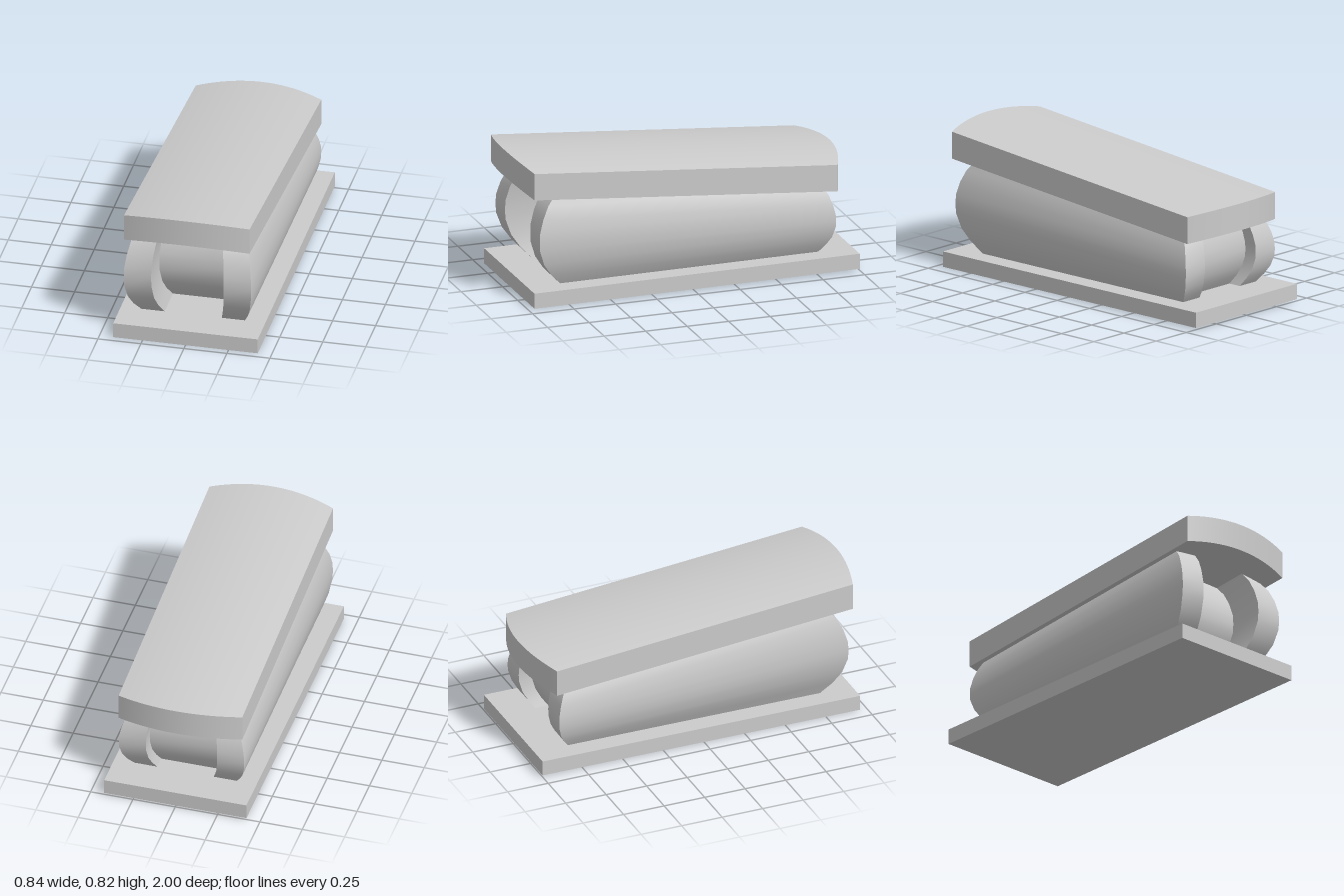
import * as THREE from 'three';
import { toCreasedNormals } from 'three/addons/utils/BufferGeometryUtils.js';

const material = new THREE.MeshStandardMaterial({ color: 0xcccccc, side: THREE.DoubleSide });

function addPart(group, name, geometry) {
  const mesh = new THREE.Mesh(toCreasedNormals(geometry, 0.65), material);
  mesh.name = name;
  group.add(mesh);
}

// Move every vertex of a geometry by a rule
function reshape(geometry, rule) {
  const p = geometry.attributes.position;
  const v = new THREE.Vector3();
  for (let i = 0; i < p.count; i++) {
    rule(v.fromBufferAttribute(p, i));
    p.setXYZ(i, v.x, v.y, v.z);
  }
  return geometry;
}

// Upper surface of the sloping, crowned lid
const LID_HALF = 0.365, LID_THICK = 0.158;
const lidTop = (x, z) => 0.825 - 0.087 * (0.995 - z) - 0.032 * (x / LID_HALF) ** 2;
const baseTop = (z) => 0.09 + 0.01 * (0.96 - z) / 1.96;

// Base plate, rising very slightly to the back
function baseGeometry() {
  return reshape(new THREE.BoxGeometry(0.84, 0.09, 1.96), (v) => {
    v.z -= 0.02;
    v.y += baseTop(v.z) - 0.045;
  });
}

// Lid with bowed ends
function lidGeometry() {
  return reshape(new THREE.BoxGeometry(2, 1, 2, 20, 1, 1), (v) => {
    const bow = 1 - v.x * v.x;
    const x = v.x * LID_HALF + 0.003;
    const z = v.z > 0 ? 0.94 + 0.055 * bow : -0.885 - 0.082 * bow;
    const under = v.y < 0;
    v.set(x, lidTop(x, z) - (under ? LID_THICK : 0), z);
  });
}

// Bulging body: H-shaped plan swept upwards, [height, bulge] per level
const LEVELS = [[0, 0], [0.13, 0.45], [0.26, 0.78], [0.42, 0.98], [0.52, 1], [0.62, 0.98],
  [0.76, 0.83], [0.89, 0.6], [1, 0.27]];

function bodyGeometry() {
  const positions = [], index = [];
  let n = 0;
  for (const [t, f] of LEVELS) {
    const outer = 0.3 + 0.07 * f, inner = 0.165 + 0.046 * f;
    const front = 0.76 + 0.15 * f, back = -0.79 - 0.085 * f;
    const frontIn = front - 0.21, backIn = back + 0.08;
    const plan = [
      [outer, front], [outer, back], [inner, back], [inner, backIn],
      [-inner, backIn], [-inner, back], [-outer, back], [-outer, front],
      [-inner, front], [-inner, frontIn], [inner, frontIn], [inner, front],
    ];
    n = plan.length;
    for (const [x, z] of plan) {
      const low = baseTop(z) - 0.003;
      const high = lidTop(x, z) - LID_THICK + 0.006;
      positions.push(x, low + (high - low) * t, z);
    }
  }
  for (let k = 0; k < LEVELS.length - 1; k++) {
    for (let i = 0; i < n; i++) {
      const a = k * n + i, b = k * n + (i + 1) % n;
      index.push(a, b, b + n, a, b + n, a + n);
    }
  }
  const geometry = new THREE.BufferGeometry();
  geometry.setAttribute('position', new THREE.Float32BufferAttribute(positions, 3));
  geometry.setIndex(index);
  geometry.computeVertexNormals();
  return geometry;
}

export function createModel() {
  const group = new THREE.Group();
  group.name = 'wedgeWithLid';
  addPart(group, 'basePlate', baseGeometry());
  addPart(group, 'bulgingBody', bodyGeometry());
  addPart(group, 'slopingLid', lidGeometry());
  return group;
}
